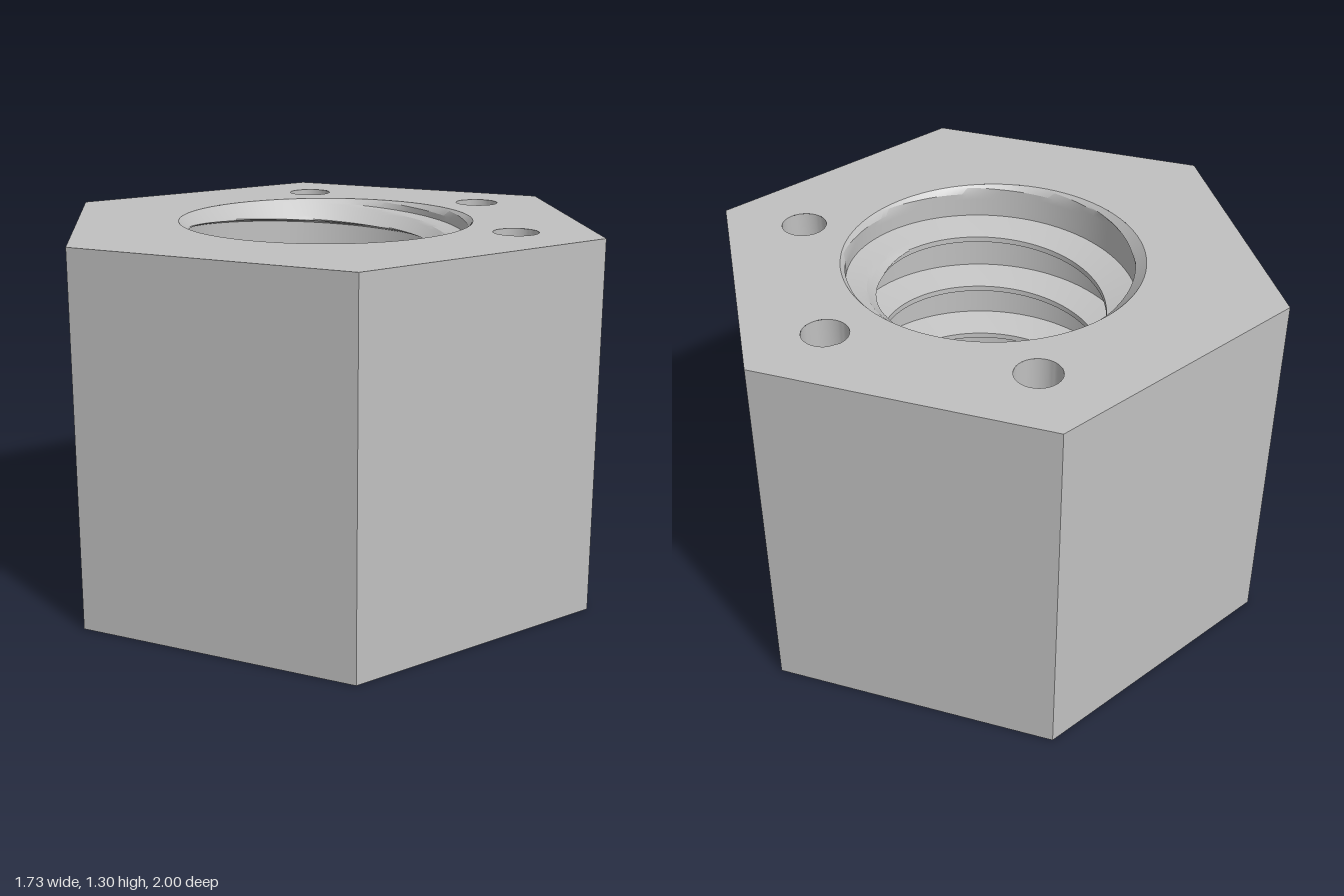
import * as THREE from 'three';
import { toCreasedNormals } from 'three/addons/utils/BufferGeometryUtils.js';

const H = 1.3, MOUTH = 0.515, ROOT = 0.5, CREST = 0.39, PITCH = 0.21;
const POCKET_R = 0.077, POCKET_DEPTH = 0.3;
const POCKETS = [[-0.6, -0.35], [0, -0.7], [0.6, -0.35]];

// Hexagonal end face, points towards front and back
function endFace(pockets) {
  const shape = new THREE.Shape();
  for (let i = 0; i < 6; i++) {
    const a = i * Math.PI / 3;
    shape[i ? 'lineTo' : 'moveTo'](Math.sin(a), Math.cos(a));
  }
  shape.closePath();
  const cut = (x, y, r) => shape.holes.push(new THREE.Path().absarc(x, y, r, 0, Math.PI * 2, true));
  cut(0, 0, MOUTH);
  for (const [x, z] of pockets) cut(x, -z, POCKET_R);
  return new THREE.ShapeGeometry(shape, 48);
}

// Right-handed threaded bore; 45 degree chamfers trim the thread at both ends
function threadedBore() {
  const segs = 128, turns = 9, steps = 6;
  const profile = [[0, CREST], [0.02, CREST], [0.05, ROOT], [0.18, ROOT], [PITCH, CREST]];
  const rows = [];
  for (let t = 0; t < turns; t++)
    for (let k = 0; k < 4; k++)
      for (let s = 0; s < steps; s++) {
        const f = s / steps, [y0, r0] = profile[k], [y1, r1] = profile[k + 1];
        rows.push([t * PITCH + y0 + (y1 - y0) * f, r0 + (r1 - r0) * f]);
      }
  const pos = [], index = [], n = rows.length;
  for (let i = 0; i <= segs; i++) {
    const a = i / segs * Math.PI * 2;
    const start = 1.205 + PITCH * (a / (Math.PI * 2) + 0.5 - 8);
    for (const [dy, r0] of rows) {
      const y = THREE.MathUtils.clamp(start + dy, 0, H);
      const r = Math.max(r0, MOUTH - y, MOUTH - (H - y));
      pos.push(r * Math.sin(a), y, r * Math.cos(a));
    }
  }
  const same = (p, q) => Math.abs(pos[p * 3 + 1] - pos[q * 3 + 1]) < 1e-7;
  for (let i = 0; i < segs; i++)
    for (let j = 0; j < n - 1; j++) {
      const a = i * n + j, b = a + n;
      if (!same(a, a + 1)) index.push(a, a + 1, b);
      if (!same(b, b + 1)) index.push(b, a + 1, b + 1);
    }
  const g = new THREE.BufferGeometry();
  g.setAttribute('position', new THREE.Float32BufferAttribute(pos, 3));
  g.setIndex(index);
  return toCreasedNormals(g, 0.4);
}

export function createModel() {
  const group = new THREE.Group();
  const steel = new THREE.MeshStandardMaterial({ color: 0xc0c0c0 });
  steel.name = 'grey steel';
  const add = (name, geometry, x = 0, y = 0, z = 0) => {
    const mesh = new THREE.Mesh(geometry, steel);
    mesh.name = name;
    mesh.position.set(x, y, z);
    group.add(mesh);
  };

  // Six flat sides and the two end faces
  add('hexSides', toCreasedNormals(new THREE.CylinderGeometry(1, 1, H, 6, 1, true), 0.4), 0, H / 2, 0);
  add('topFace', endFace(POCKETS).rotateX(-Math.PI / 2), 0, H, 0);
  add('bottomFace', endFace([]).rotateX(Math.PI / 2));

  add('threadedBore', threadedBore());

  // Blind pockets in the top face, wall and floor in one turned profile
  const pocket = toCreasedNormals(new THREE.LatheGeometry([
    new THREE.Vector2(POCKET_R, 0),
    new THREE.Vector2(POCKET_R, -POCKET_DEPTH),
    new THREE.Vector2(0, -POCKET_DEPTH),
  ], 48), 0.4);
  for (const [x, z] of POCKETS) add('topPocket', pocket, x, H, z);

  return group;
}
